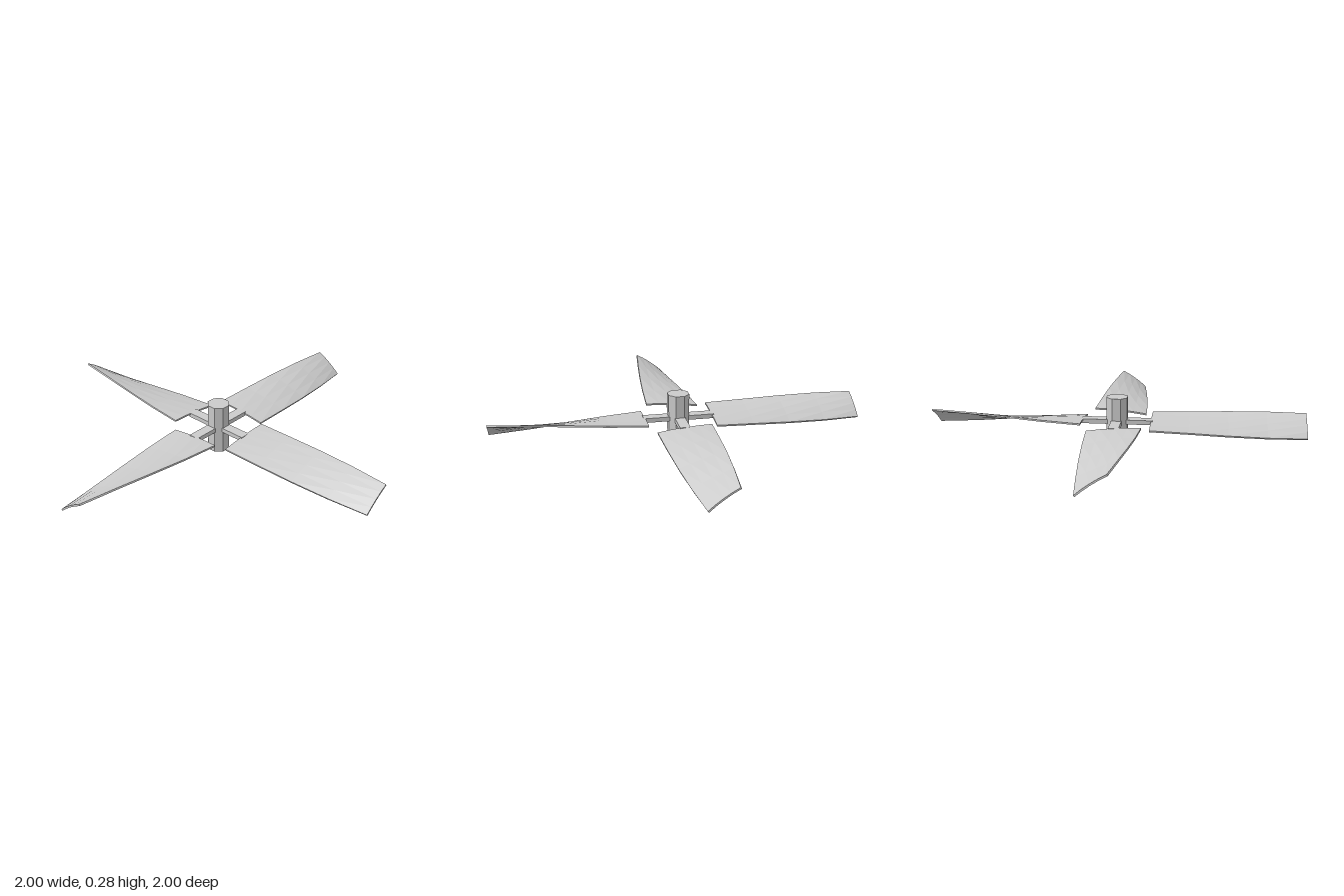
import * as THREE from 'three';

const ROOT = 0.19, TIP = 1.048, LEVEL = 0.141;

// Thin plate along +x: tapered, slightly cambered and twisted towards the tip
function bladeGeometry() {
  const geo = new THREE.BoxGeometry(TIP - ROOT, 0.009, 1, 4, 1, 4);
  const pos = geo.attributes.position;
  for (let i = 0; i < pos.count; i++) {
    const t = pos.getX(i) / (TIP - ROOT) + 0.5;
    const s = pos.getZ(i);
    const chord = 0.302 - 0.12 * t + 0.05 * t * (1 - t);
    const twist = THREE.MathUtils.degToRad(5 + 30 * Math.pow(t, 1.35));
    const z = s * chord;
    const y = pos.getY(i) + 0.006 * (1 - 4 * s * s);
    pos.setXYZ(
      i,
      ROOT + t * (TIP - ROOT),
      y * Math.cos(twist) - z * Math.sin(twist),
      z * Math.cos(twist) + y * Math.sin(twist)
    );
  }
  geo.computeVertexNormals();
  return geo;
}

export function createModel() {
  const model = new THREE.Group();
  model.name = 'rotor';
  const material = new THREE.MeshStandardMaterial({ color: 0xcccccc, flatShading: true });

  // Octagonal hub
  const hub = new THREE.Mesh(new THREE.CylinderGeometry(0.063, 0.063, 0.28, 8), material);
  hub.name = 'hub';
  hub.position.y = 0.14;
  model.add(hub);

  // Four arms, each carrying a blade
  const bladeGeo = bladeGeometry();
  const armGeo = new THREE.BoxGeometry(0.17, 0.025, 0.058);
  for (let i = 0; i < 4; i++) {
    const unit = new THREE.Group();
    unit.name = 'bladeUnit' + (i + 1);
    unit.position.y = LEVEL;
    unit.rotation.y = -Math.PI / 8 + (i * Math.PI) / 2;

    const arm = new THREE.Mesh(armGeo, material);
    arm.name = 'arm';
    arm.position.x = 0.115;

    const blade = new THREE.Mesh(bladeGeo, material);
    blade.name = 'blade';

    unit.add(arm, blade);
    model.add(unit);
  }
  return model;
}
